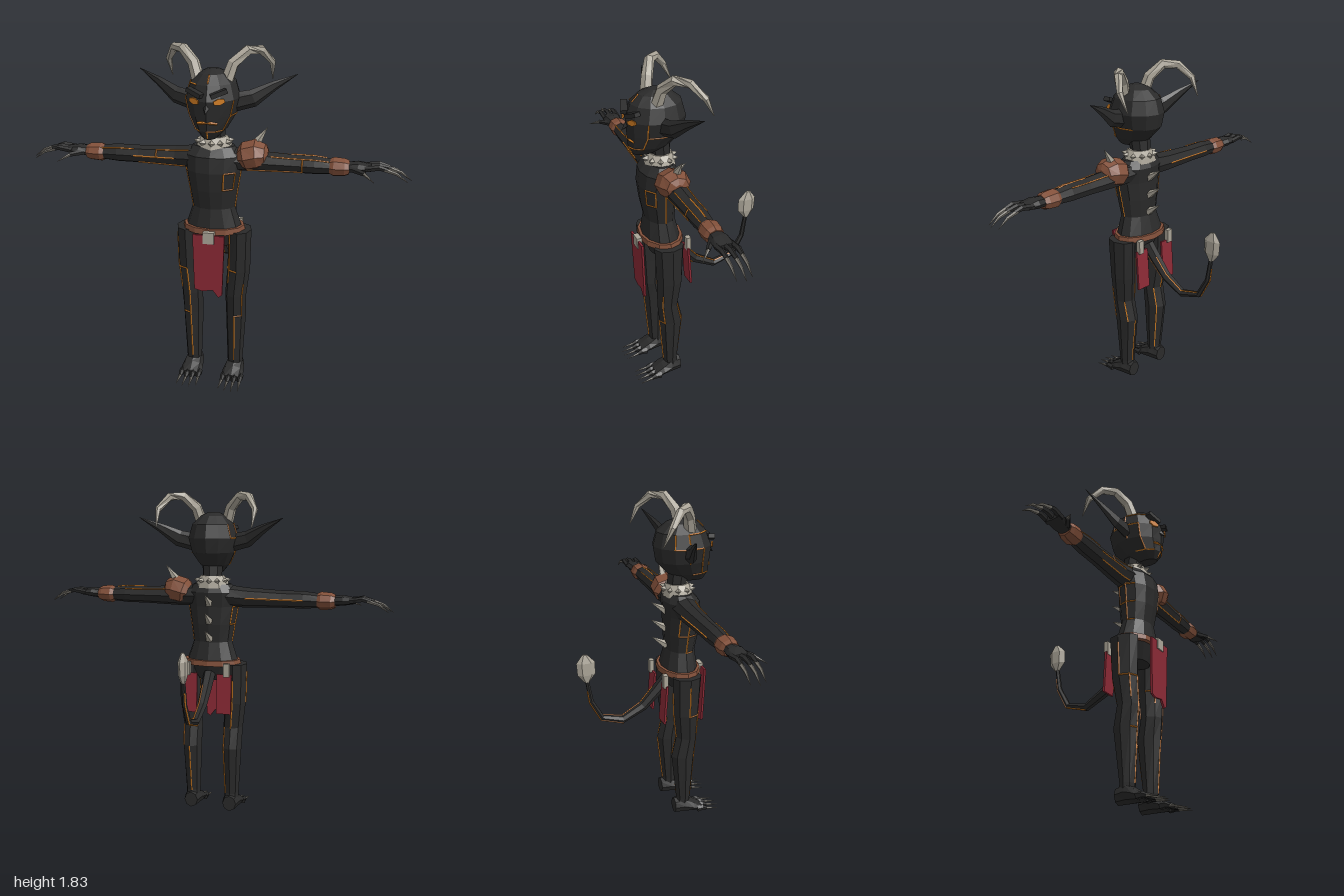
import * as THREE from 'three';

const mat = (name, color) => Object.assign(new THREE.MeshStandardMaterial({ color, flatShading: true }), { name });

export function createModel() {
  const root = new THREE.Group();
  root.name = 'hornedImp';
  const skin = mat('charcoalSkin', 0x2a2a2a), bone = mat('bone', 0xaaa497), leather = mat('brownLeather', 0x82503a);
  const cloth = mat('redCloth', 0x8c2a36), glow = mat('orangeGlow', 0xd07c22), claw = mat('clawGrey', 0x77736b);
  cloth.side = THREE.DoubleSide;
  const X = new THREE.Vector3(1, 0, 0), Y = new THREE.Vector3(0, 1, 0), Z = new THREE.Vector3(0, 0, 1);

  // Faceted body through rows [x, y, z, radius along ref, radius across]; axis fixes the ring direction
  function sweep(name, rows, material, n, ref = Y, axis = null) {
    const P = rows.map(r => new THREE.Vector3(r[0], r[1], r[2]));
    const rings = rows.map((r, i) => {
      const T = axis ? axis.clone()
        : P[Math.min(i + 1, P.length - 1)].clone().sub(P[Math.max(i - 1, 0)]).normalize();
      const U = ref.clone().addScaledVector(T, -ref.dot(T)).normalize();
      const V = T.clone().cross(U);
      return Array.from({ length: n }, (_, k) => {
        const a = k / n * Math.PI * 2;
        return P[i].clone().addScaledVector(U, Math.cos(a) * r[3]).addScaledVector(V, Math.sin(a) * (r[4] ?? r[3]));
      });
    });
    const pts = [], last = rings.length - 1;
    for (let k = 0; k < n; k++) {
      const m = (k + 1) % n;
      for (let i = 0; i < last; i++) {
        const a = rings[i][k], b = rings[i][m], c = rings[i + 1][m], d = rings[i + 1][k];
        pts.push(a, b, c, a, c, d);
      }
      pts.push(P[0], rings[0][m], rings[0][k], P[last], rings[last][k], rings[last][m]);
    }
    const g = new THREE.BufferGeometry().setFromPoints(pts);
    g.computeVertexNormals();
    const mesh = new THREE.Mesh(g, material);
    mesh.name = name;
    mesh.userData.rings = rings;
    root.add(mesh);
    return mesh;
  }

  const spike = (name, a, b, r, material, n = 5, ref = Y) => sweep(name, [[...a, r], [...b, 0.001]], material, n, ref);

  function box(name, size, pos, material, rot = [0, 0, 0]) {
    const m = new THREE.Mesh(new THREE.BoxGeometry(...size), material);
    m.name = name;
    m.position.set(...pos);
    m.rotation.set(...rot);
    root.add(m);
  }

  // Thin glowing lines along the facet edges
  function line(points, r = 0.0042) {
    for (let i = 0; i < points.length - 1; i++) {
      const a = points[i], b = points[i + 1], d = b.clone().sub(a).normalize();
      sweep('glowSeam', [[...a, r], [...b, r]], glow, 4, Math.abs(d.y) > 0.8 ? Z : Y);
    }
  }
  function at(mesh, row, k) {
    const R = mesh.userData.rings, i = Math.min(Math.floor(row), R.length - 2), n = R[0].length;
    const c = ((k % n) + n) % n;
    return R[i][c].clone().lerp(R[i + 1][c], row - i);
  }
  function seam(mesh, k, a, b) {
    const pts = [at(mesh, a, k)];
    for (let i = Math.floor(a) + 1; i < b; i++) pts.push(at(mesh, i, k));
    line([...pts, at(mesh, b, k)]);
  }
  function hoop(mesh, row, k0, k1) {
    const pts = [];
    for (let k = k0; k <= k1; k++) pts.push(at(mesh, row, k));
    line(pts);
  }

  // Torso and neck
  const torso = sweep('torso', [[0, .78, .185, .06, .08], [0, .89, .185, .1, .15], [0, 1, .19, .08, .113],
    [0, 1.1, .195, .095, .128], [0, 1.2, .2, .1, .145], [0, 1.28, .19, .1, .15], [0, 1.325, .18, .07, .11]], skin, 12, Z, Y);
  sweep('neck', [[0, 1.29, .175, .065], [0, 1.36, .17, .055], [0, 1.44, .18, .06]], skin, 8, Z, Y);
  seam(torso, 1, 3.1, 4); seam(torso, 2, 3.1, 4); hoop(torso, 3.1, 1, 2); hoop(torso, 4, 1, 2);
  seam(torso, 3, 2, 4); seam(torso, 9, 2, 4.3); hoop(torso, 3, 8, 10);
  hoop(torso, 2, 9, 10); hoop(torso, 4, 8, 10); seam(torso, 8, 3, 4);

  // Tooth collar
  sweep('collar', [[0, 1.305, .178, .085, .1], [0, 1.345, .175, .075, .085], [0, 1.372, .173, .06, .065]], bone, 10, Z, Y);
  for (let i = 0; i < 10; i++) {
    const s = Math.sin(i * Math.PI / 5), c = Math.cos(i * Math.PI / 5);
    spike('collarTooth', [s * .068, 1.342, .175 + c * .064], [s * .105, 1.35, .177 + c * .098], .022, bone, 4);
  }

  // Head
  const head = sweep('head', [[0, 1.385, .26, .06, .035], [0, 1.43, .23, .115, .08], [0, 1.5, .2, .15, .12],
    [0, 1.58, .195, .16, .14], [0, 1.655, .19, .135, .117], [0, 1.7, .195, .085, .07], [0, 1.72, .195, .03]], skin, 12, Z, Y);
  hoop(head, 3, 8, 10); seam(head, 9, 2, 4); hoop(head, 4, 9, 11); seam(head, 10, 1, 3);
  hoop(head, 1, 9, 11); hoop(head, 2, 2, 4); seam(head, 2, 1, 3); seam(head, 8, 3, 4); seam(head, 0, .2, 1);
  hoop(head, 1, 0, 2); seam(head, 0, 4.2, 5);
  spike('nose', [0, 1.56, .335], [0, 1.525, .375], .022, skin, 4);
  line([-.05, -.02, .02, .05].map(x => new THREE.Vector3(x, 1.478 - Math.abs(x) * .15, .352 - Math.abs(x) * .45)), .007);

  // Belt, buckle and front cloth
  sweep('belt', [[0, .868, .185, .117, .168], [0, .898, .185, .114, .163]], leather, 12, Z, Y);
  box('frontBuckle', [.06, .062, .028], [0, .86, .314], bone);
  const flap = new THREE.Shape([[-.085, .875], [-.08, .56], [-.04, .55], [.02, .56], [.05, .52], [.07, .535], [.085, .875]]
    .map(p => new THREE.Vector2(...p)));
  const front = new THREE.Mesh(new THREE.ExtrudeGeometry(flap, { depth: .012, bevelEnabled: false }), cloth);
  front.name = 'frontCloth';
  front.geometry.translate(0, -.875, 0).rotateX(-.03 + .06).translate(0, .875, .303);
  front.geometry.rotateX(0).translate(0, 0, .008);
  root.add(front);

  // Spines down the back
  for (const [y, z] of [[1.22, .11], [1.12, .11], [1.02, .115]])
    spike('backSpine', [0, y, z], [0, y + .055, z - .085], .024, bone);

  // Tail with leaf-shaped tip
  const tail = sweep('tail', [[0, .82, .12, .035], [0, .75, .06, .032], [0, .665, -.02, .027], [0, .6, -.14, .022],
    [0, .632, -.26, .017], [0, .74, -.32, .014], [0, .88, -.342, .011]], skin, 6, X);
  seam(tail, 1, .5, 2); seam(tail, 2, 3, 5.5); seam(tail, 5, 1, 4);
  sweep('tailTip', [[0, .86, -.342, .015, .012], [0, .905, -.342, .05, .022], [0, .975, -.345, .052, .022],
    [0, 1.02, -.35, .014, .008]], bone, 6, Z, Y);

  for (const s of [1, -1]) {
    const sd = rows => rows.map(([x, ...r]) => [x * s, ...r]);
    const p = (x, y, z) => [x * s, y, z];

    // Face details, ears and horns
    const eye = new THREE.Mesh(new THREE.CylinderGeometry(.032, .032, .008, 6), glow);
    eye.name = 'eye';
    eye.geometry.rotateX(Math.PI / 2).scale(1, .5, 1);
    eye.position.set(.063 * s, 1.582, .342);
    eye.rotation.set(0, .45 * s, .18 * s, 'YXZ');
    root.add(eye);
    box('brow', [.085, .022, .035], p(.06, 1.622, .337), skin, [0, .35 * s, .35 * s]);
    sweep('ear', sd([[.09, 1.55, .2, .05, .03], [.2, 1.575, .18, .045, .022], [.3, 1.635, .145, .024, .012],
      [.41, 1.69, .11, .001]]), skin, 6);
    sweep('horn', sd([[.07, 1.65, .215, .034], [.1, 1.745, .195, .031], [.165, 1.808, .155, .027],
      [.225, 1.803, .1, .023], [.272, 1.735, .04, .017], [.267, 1.64, -.005, .002]]), bone, 6, Z);

    // Arm, wrist band and hand
    const arm = sweep('arm', sd([[.09, 1.258, .185, .062, .07], [.2, 1.252, .18, .056, .058], [.4, 1.25, .18, .048, .05],
      [.52, 1.25, .18, .048, .05], [.64, 1.248, .18, .036, .042]]), skin, 8, Y, X.clone().multiplyScalar(s));
    const f = k => s > 0 ? k : 8 - k;
    if (s > 0) {
      seam(arm, 1, 1.5, 3.6); seam(arm, 3, .8, 2.5); seam(arm, 0, 2, 3.5); hoop(arm, 2.5, 1, 3); seam(arm, 7, 1, 3);
    } else {
      seam(arm, f(1), .3, 1.5); seam(arm, f(2), 1, 2.2); seam(arm, f(3), .5, 2); hoop(arm, 1.5, f(2), f(1));
      seam(arm, f(1), 2.2, 3.7); seam(arm, f(6), 1, 3);
    }
    sweep('wristBand', sd([[.595, 1.248, .18, .04, .045], [.615, 1.248, .18, .05, .055], [.67, 1.248, .18, .046, .052],
      [.692, 1.248, .18, .036, .042]]), leather, 8);
    sweep('hand', sd([[.68, 1.25, .18, .027, .038], [.735, 1.255, .18, .029, .05], [.8, 1.255, .18, .017, .05]]), skin, 8);
    for (const o of [-1, 0, 1]) {
      const e = .02 * Math.abs(o), z = .18 + o * .038;
      sweep('finger', sd([[.77, 1.255, z, .015], [.84, 1.266, z, .014], [.9 - e, 1.256, z, .01]]), skin, 5);
      sweep('fingerClaw', sd([[.885 - e, 1.258, z, .011], [.945 - e, 1.24, z, .008], [1 - e, 1.2, z, .001]]), claw, 5);
    }
    sweep('thumb', sd([[.71, 1.248, .21, .016], [.77, 1.242, .255, .012]]), skin, 5);
    spike('thumbClaw', p(.765, 1.243, .252), p(.82, 1.215, .305), .01, claw);

    // Leg
    const leg = sweep('leg', sd([[.117, .06, .18, .04, .042], [.117, .1, .185, .041, .043], [.12, .38, .178, .068, .056],
      [.121, .5, .196, .06, .058], [.135, .65, .187, .073, .062], [.14, .875, .187, .084, .062]]), skin, 8, Z, Y);
    if (s > 0) {
      seam(leg, 0, 1, 2); seam(leg, 7, 3.5, 5); hoop(leg, 4, -2, 0); seam(leg, 1, 2, 3.5); hoop(leg, 2, 0, 1);
      seam(leg, 4, 1, 2); seam(leg, 5, 3, 4.5); seam(leg, 3, 2, 3);
    } else {
      seam(leg, 0, 1, 4); hoop(leg, 4, 6, 8); seam(leg, 7, 3.2, 4); hoop(leg, 2, 7, 8); seam(leg, 6, 4, 4.8);
      seam(leg, 3, 1, 3); seam(leg, 4, 3, 4.6);
    }

    // Foot with clawed toes
    sweep('foot', sd([[.117, .045, .13, .045, .04], [.117, .05, .19, .05, .053], [.117, .036, .24, .035, .06],
      [.117, .02, .29, .018, .056]]), skin, 8, Y, Z);
    for (let i = 0; i < 4; i++) {
      const x = .068 + i * .033, e = Math.abs(i - 1.5) * .012;
      sweep('toe', sd([[x, .022, .26, .02, .016], [x, .024, .31 - e, .017, .014], [x, .016, .335 - e, .01]]), skin, 5);
      spike('toeClaw', p(x, .018, .322 - e), p(x + (i - 1.5) * .004, .005, .405 - e), .01, claw);
    }

    // Rear cloths hung from clips
    box('rearCloth', [.085, .225, .012], p(.1, .715, .067), cloth, [.06, 0, 0]);
    box('rearClip', [.035, .075, .025], p(.115, .853, .068), bone);
  }

  // Single shoulder guard with spike
  sweep('shoulderGuard', [[.135, 1.265, .185, .045, .06], [.165, 1.275, .185, .075, .088], [.225, 1.29, .185, .078, .085],
    [.268, 1.29, .185, .055, .06], [.283, 1.29, .185, .025]], leather, 8);
  spike('shoulderSpike', [.215, 1.34, .175], [.273, 1.425, .165], .026, bone, 5, Z);

  return root;
}
